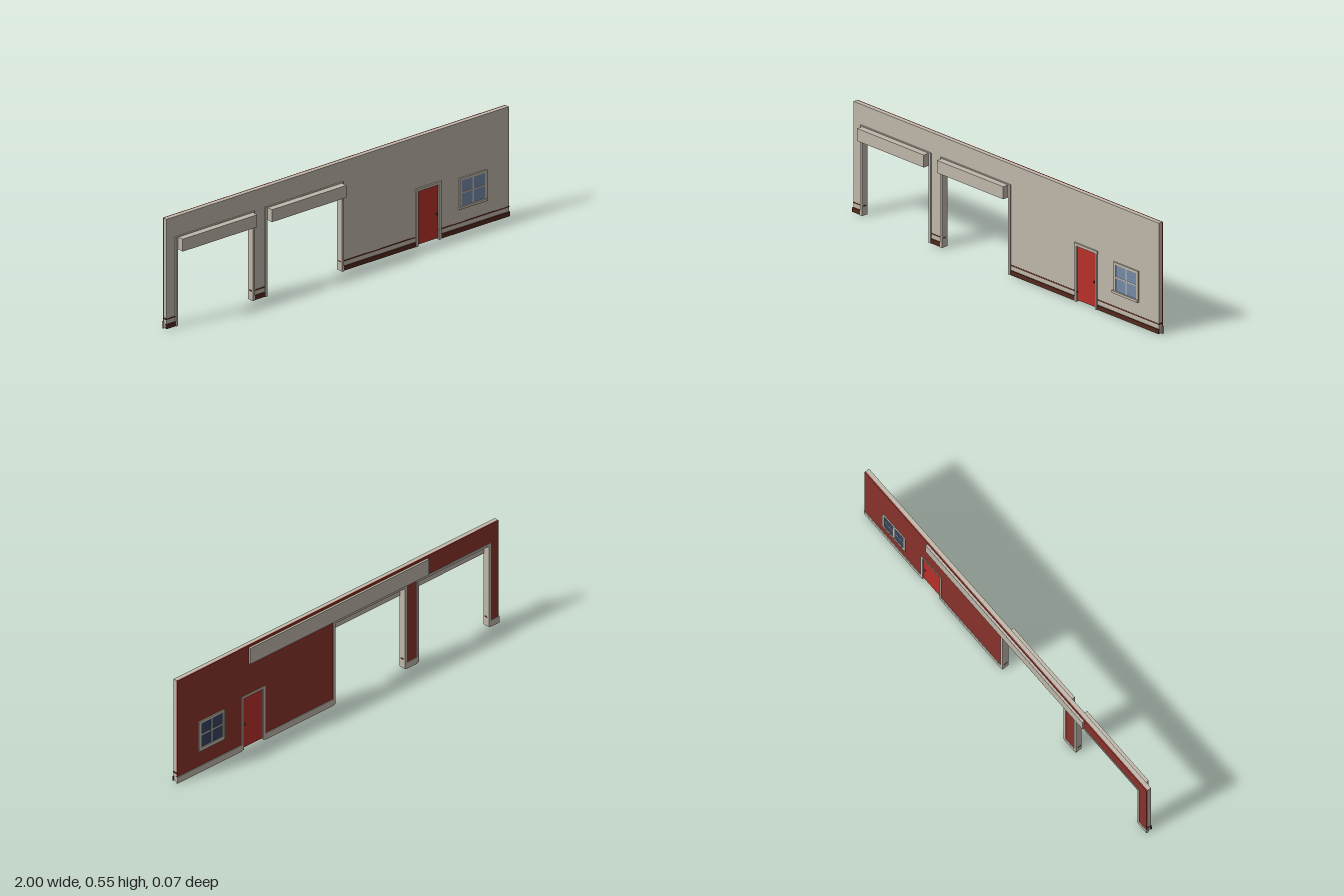
import * as THREE from 'three';

const mat = (name, color) => Object.assign(new THREE.MeshStandardMaterial({ color }), { name });

export function createModel() {
  const root = new THREE.Group();
  root.name = 'garageFacade';
  const cream = mat('cream', 0xbfb7aa);
  const brick = mat('brickRed', 0x8a322b);
  const doorRed = mat('doorRed', 0xb8302a);
  const brown = mat('darkBrown', 0x55281e);
  const glass = mat('glass', 0x758aa6);
  const darkGlass = mat('darkGlass', 0x36435e);
  const metal = mat('darkMetal', 0x2a2522);

  const add = (name, geo, material, parent = root) => {
    const mesh = new THREE.Mesh(geo, material);
    mesh.name = name;
    parent.add(mesh);
    return mesh;
  };
  // Box given by its limits on each axis
  const box = (name, x0, x1, y0, y1, z0, z1, material, parent) => {
    const m = add(name, new THREE.BoxGeometry(x1 - x0, y1 - y0, z1 - z0), material, parent);
    m.position.set((x0 + x1) / 2, (y0 + y1) / 2, (z0 + z1) / 2);
    return m;
  };

  // Openings reaching the ground: outer x limits, top, frame width
  const openings = [
    { name: 'leftBay', x0: -0.946, x1: -0.487, top: 0.445, w: 0.012 },
    { name: 'middleBay', x0: -0.425, x1: 0.032, top: 0.445, w: 0.012 },
    { name: 'doorway', x0: 0.453, x1: 0.598, top: 0.288, w: 0.012 },
  ];

  // Wall outline notched by the openings, in two layers
  const wallLayer = (name, bottom, depth, z, material) => {
    const s = new THREE.Shape();
    s.moveTo(-0.997, bottom);
    for (const o of openings) {
      s.lineTo(o.x0 + 0.002, bottom);
      s.lineTo(o.x0 + 0.002, o.top - 0.002);
      s.lineTo(o.x1 - 0.002, o.top - 0.002);
      s.lineTo(o.x1 - 0.002, bottom);
    }
    s.lineTo(0.997, bottom);
    s.lineTo(0.997, 0.545);
    s.lineTo(-0.997, 0.545);
    s.closePath();
    add(name, new THREE.ExtrudeGeometry(s, { depth, bevelEnabled: false }), material).position.z = z;
  };
  wallLayer('frontWall', 0.005, 0.019, -0.019, cream);
  wallLayer('backWall', 0.03, 0.006, -0.025, brick);

  // Three-sided frames lining the openings
  for (const o of openings) {
    const g = new THREE.Group();
    g.name = o.name + 'Frame';
    root.add(g);
    const s = new THREE.Shape();
    [[o.x0, 0.004], [o.x0 + o.w, 0.004], [o.x0 + o.w, o.top - o.w], [o.x1 - o.w, o.top - o.w],
      [o.x1 - o.w, 0.004], [o.x1, 0.004], [o.x1, o.top], [o.x0, o.top]]
      .forEach(([x, y], i) => (i ? s.lineTo(x, y) : s.moveTo(x, y)));
    s.closePath();
    const geo = new THREE.ExtrudeGeometry(s, { depth: 0.035, bevelEnabled: false });
    add('frame', geo, cream, g).position.z = -0.028;
  }

  // Wall runs between openings: plinth, stripe and rear skirting
  const edges = [-1, ...openings.flatMap((o) => [o.x0, o.x1]), 1];
  for (let i = 0; i < edges.length; i += 2) {
    const a = edges[i], b = edges[i + 1];
    const a2 = i ? a - 0.013 : a, b2 = i + 2 < edges.length ? b + 0.013 : b;
    box('plinth', a, b, 0.005, 0.027, -0.002, 0.005, brown);
    box('stripe', a2, b2, 0.048, 0.054, -0.019, 0.001, brown);
    box('skirting', a, b, 0, 0.034, -0.028, -0.018, cream);
  }

  // Shutter boxes above the bays, and the rear fascia
  for (const o of openings.slice(0, 2)) {
    box('shutterBox', o.x0 + o.w, o.x1 - o.w, 0.381, 0.442, 0.006, 0.038, cream);
  }
  box('rearFascia', -0.555, 0.553, 0.449, 0.533, -0.036, -0.024, cream);

  // Door with a knob on each side
  const door = new THREE.Group();
  door.name = 'door';
  root.add(door);
  box('doorLeaf', 0.464, 0.587, 0.01, 0.277, -0.02, -0.002, doorRed, door);
  box('doorHeader', 0.45, 0.601, 0.278, 0.29, -0.002, 0.008, cream, door);
  for (const z of [0.001, -0.023]) {
    add('knob', new THREE.SphereGeometry(0.005, 12, 8), metal, door).position.set(0.576, 0.132, z);
  }

  // Window: frame, panes and glazing bars on both faces
  const win = new THREE.Group();
  win.name = 'window';
  root.add(win);
  const face = (side, z0, z1, pane, y0) => {
    const s = new THREE.Shape();
    s.moveTo(0.707, y0).lineTo(0.867, y0).lineTo(0.867, 0.272).lineTo(0.707, 0.272).closePath();
    const h = new THREE.Path();
    h.moveTo(0.72, 0.132).lineTo(0.72, 0.26).lineTo(0.854, 0.26).lineTo(0.854, 0.132).closePath();
    s.holes.push(h);
    const geo = new THREE.ExtrudeGeometry(s, { depth: z1 - z0, bevelEnabled: false });
    add(side + 'WindowFrame', geo, cream, win).position.z = z0;
    const mid = (z0 + z1) / 2;
    box(side + 'Pane', 0.719, 0.855, 0.131, 0.261, mid - 0.001, mid + 0.001, pane, win);
    box(side + 'Mullion', 0.783, 0.791, 0.131, 0.261, mid - 0.002, mid + 0.002, cream, win);
    box(side + 'Transom', 0.719, 0.855, 0.194, 0.201, mid - 0.0018, mid + 0.0018, cream, win);
  };
  // Shape.moveTo and lineTo chain because each returns the path
  face('front', -0.001, 0.007, glass, 0.125);
  face('back', -0.03, -0.024, darkGlass, 0.113);
  box('windowSill', 0.7, 0.867, 0.12, 0.132, -0.001, 0.011, cream, win);

  return root;
}
